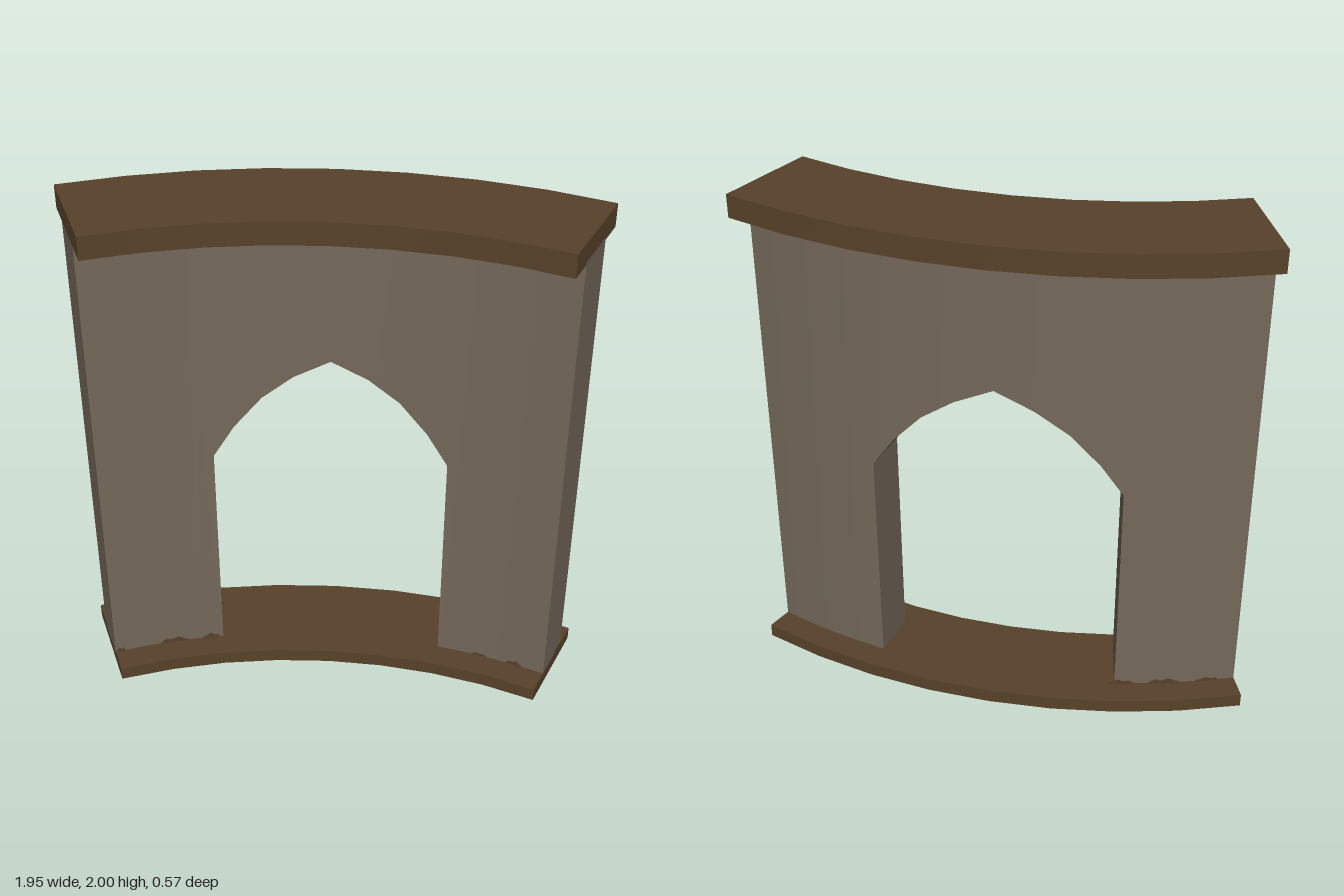
import * as THREE from 'three';
import { toCreasedNormals } from 'three/addons/utils/BufferGeometryUtils.js';

const CENTRE_Z = 2.263;          // axis the wall curves around
const HALF = Math.PI / 8;        // half of the 45 degree sweep
const R_IN = 2.248, R_OUT = 2.443;
const rad = THREE.MathUtils.degToRad;

const polar = (r, a, y) => [r * Math.sin(a), y, CENTRE_Z - r * Math.cos(a)];

function quad(out, a, b, c, d) {
  out.push(...a, ...b, ...c, ...a, ...c, ...d);
}

function finish(positions, crease) {
  const g = new THREE.BufferGeometry();
  g.setAttribute('position', new THREE.Float32BufferAttribute(positions, 3));
  return toCreasedNormals(g, crease);
}

// Curved block from columns of [angle, bottom height]; openBelow leaves out the underside at that height
function curvedBlock(columns, rIn, rOut, top, openBelow) {
  const p = [];
  for (let i = 0; i < columns.length - 1; i++) {
    const [a, ya] = columns[i], [b, yb] = columns[i + 1];
    if (b - a > 1e-6) {
      quad(p, polar(rIn, a, ya), polar(rIn, b, yb), polar(rIn, b, top), polar(rIn, a, top));
      quad(p, polar(rOut, b, yb), polar(rOut, a, ya), polar(rOut, a, top), polar(rOut, b, top));
      quad(p, polar(rIn, a, top), polar(rIn, b, top), polar(rOut, b, top), polar(rOut, a, top));
    }
    if (ya !== openBelow || yb !== openBelow) {
      quad(p, polar(rIn, a, ya), polar(rOut, a, ya), polar(rOut, b, yb), polar(rIn, b, yb));
    }
  }
  const [a, ya] = columns[0], [b, yb] = columns[columns.length - 1];
  quad(p, polar(rOut, a, ya), polar(rIn, a, ya), polar(rIn, a, top), polar(rOut, a, top));
  quad(p, polar(rIn, b, yb), polar(rOut, b, yb), polar(rOut, b, top), polar(rIn, b, top));
  return finish(p, 0.15);
}

const evenColumns = (from, to, n, y) =>
  Array.from({ length: n + 1 }, (_, i) => [from + (to - from) * i / n, y]);

// Thin ragged strip: at(t) gives [x, z], height swells and wavers along t
function raggedStrip(at, y, height, seed) {
  const p = [], n = 8;
  const edge = (i) => {
    const t = i / n;
    return y + height * Math.pow(Math.sin(Math.PI * t), 0.5) * (0.8 + 0.2 * Math.sin(seed * 2.3 + i * 1.9));
  };
  for (let i = 0; i < n; i++) {
    const [x0, z0] = at(i / n), [x1, z1] = at((i + 1) / n);
    const c0 = [x0, y, z0], c1 = [x1, y, z1], c2 = [x1, edge(i + 1), z1], c3 = [x0, edge(i), z0];
    if (height > 0) quad(p, c0, c1, c2, c3);
    else quad(p, c3, c2, c1, c0);
  }
  return finish(p, 0.15);
}

export function createModel() {
  const group = new THREE.Group();
  const plaster = new THREE.MeshStandardMaterial({ color: 0x74685a, side: THREE.DoubleSide });
  plaster.name = 'plaster';
  const wood = new THREE.MeshStandardMaterial({ color: 0x58422a, side: THREE.DoubleSide });
  wood.name = 'brown trim';
  const add = (name, geometry, material) => {
    const mesh = new THREE.Mesh(geometry, material);
    mesh.name = name;
    group.add(mesh);
  };

  // Wall with a pointed doorway; the jambs are radial
  const foot = 0.04;
  const halfArch = [[11.25, 0.967], [9.2, 1.095], [6.5, 1.22], [3.5, 1.31]]
    .map(([a, y]) => [rad(a), y]);
  const arch = [
    ...halfArch.map(([a, y]) => [-a, y]), [0, 1.38], ...halfArch.slice().reverse(),
  ];
  const spring = rad(11.25);
  add('archedWall', curvedBlock([
    ...evenColumns(-HALF, -spring, 4, foot),
    ...arch,
    ...evenColumns(spring, HALF, 4, foot),
  ], R_IN, R_OUT, 1.92, foot), plaster);

  // Sill is hollow underneath, the cap is solid
  add('baseSill', curvedBlock(evenColumns(-HALF, HALF, 8, 0), 2.145, 2.548, 0.055, 0), wood);
  add('topCap', curvedBlock(evenColumns(-HALF, HALF, 8, 1.91), 2.145, 2.548, 2, null), wood);

  // Worn brown edges on the wall: [x from, x to, height]
  const onArc = (r, x0, x1) => (t) => {
    const x = x0 + (x1 - x0) * t;
    return [x, CENTRE_Z - Math.sqrt(r * r - x * x)];
  };
  const wear = (name, r, y, list) => list.forEach(([x0, x1, h], i) =>
    add(name, raggedStrip(onArc(r, x0, x1), y, h, i + 1), wood));
  const front = R_IN - 0.004, back = R_OUT + 0.004;
  wear('frontTopWear', front, 1.911, [
    [-0.52, -0.3, -0.025], [-0.32, 0.05, -0.034], [0.09, 0.18, -0.014],
    [0.26, 0.4, -0.02], [0.45, 0.57, -0.022],
  ]);
  wear('frontBaseWear', front, 0.054, [
    [-0.86, -0.82, 0.025], [-0.69, -0.57, 0.03], [-0.52, -0.45, 0.028],
    [0.57, 0.64, 0.018], [0.71, 0.78, 0.025],
  ]);
  wear('backTopWear', back, 1.911, [
    [-0.1, -0.22, -0.02], [-0.3, -0.5, -0.028], [-0.48, -0.72, -0.03],
  ]);
  wear('backBaseWear', back, 0.054, [
    [-0.45, -0.56, 0.025], [-0.6, -0.74, 0.028], [-0.78, -0.88, 0.022],
  ]);

  // Worn patch on the left end of the wall
  const onEnd = (r0, r1) => (t) => {
    const [x, , z] = polar(r0 + (r1 - r0) * t, HALF + 0.0015, 0);
    return [x, z];
  };
  add('endWear', raggedStrip(onEnd(2.36, 2.44), 0.054, 0.03, 2), wood);
  add('endWear', raggedStrip(onEnd(2.26, 2.31), 0.054, 0.015, 4), wood);
  return group;
}
